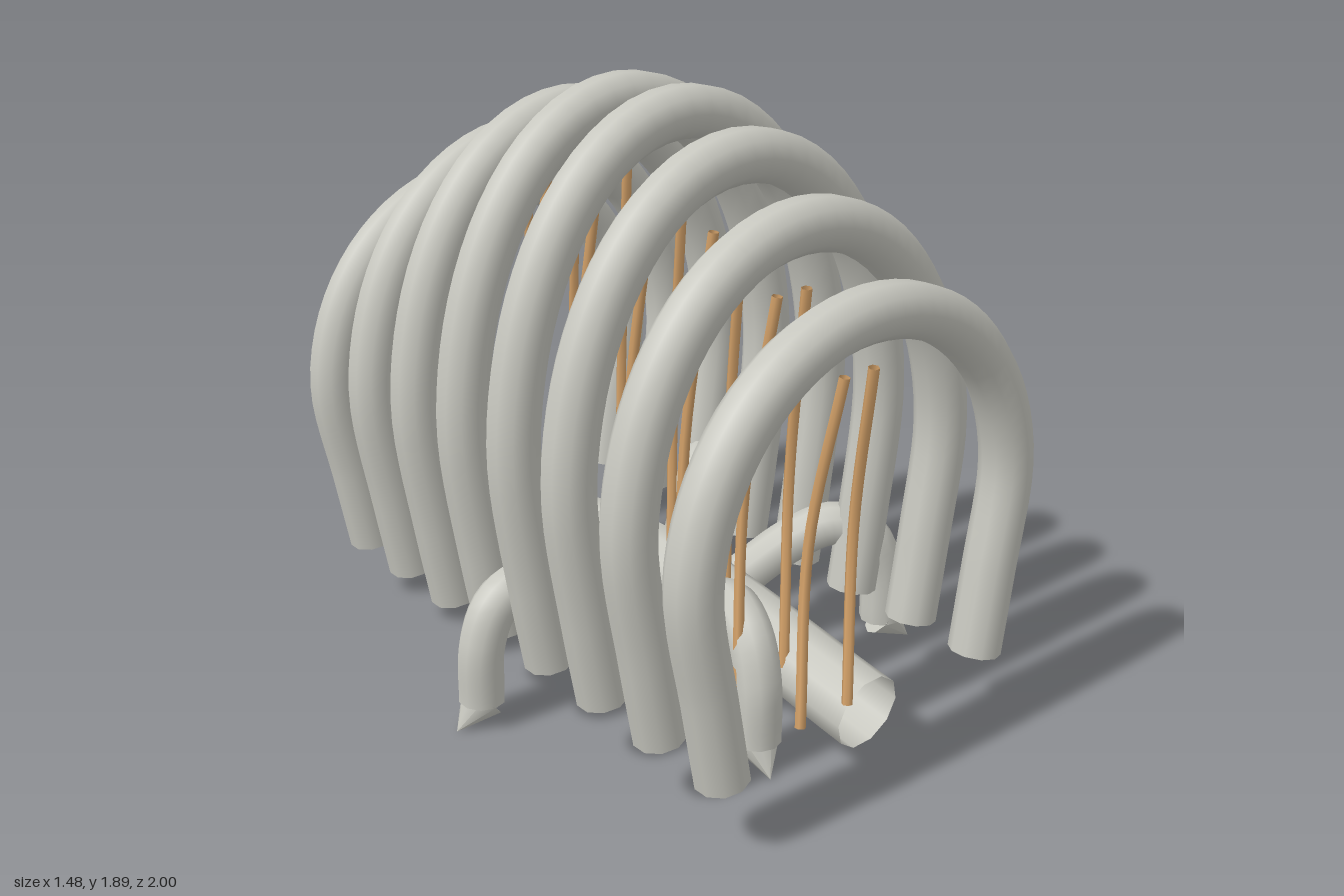
import * as THREE from 'three';

const bone = new THREE.MeshStandardMaterial({ color: 0xc8c8c0, side: THREE.DoubleSide });
bone.name = 'pale grey';
const tan = new THREE.MeshStandardMaterial({ color: 0xd2a068, side: THREE.DoubleSide });
tan.name = 'tan';

const v = (x, y, z) => new THREE.Vector3(x, y, z);

// Open tube swept along a smooth curve through the points
function tube(name, points, radius, material, segments, sides) {
  const curve = new THREE.CatmullRomCurve3(points);
  const mesh = new THREE.Mesh(new THREE.TubeGeometry(curve, segments, radius, sides), material);
  mesh.name = name;
  return mesh;
}

// Arch: straight-ish feet below, half ellipse above, leaning back towards the top
function makeRib(z, top) {
  const foot = 0.235, wideY = 0.8 + (top - 1.42) * 0.25, cx = 0.02;
  const side = [[0.515, foot], [0.56, 0.5]];
  for (let i = 0; i <= 5; i++) {
    const a = (i / 6) * Math.PI / 2;
    side.push([0.61 * Math.cos(a), wideY + (top - wideY) * Math.sin(a)]);
  }
  const lean = (y) => z - 0.035 * (y - foot) / (top - foot);
  const left = side.map(([x, y]) => v(cx - x, y, lean(y)));
  const right = side.map(([x, y]) => v(cx + x, y, lean(y))).reverse();
  return tube('rib', [...left, v(cx, top, lean(top)), ...right], 0.08, bone, 56, 10);
}

// Pair of thin bowed cords hanging inside each rib
function makeCords(z, top) {
  const group = new THREE.Group();
  group.name = 'cords';
  const low = 0.27, high = (top + 0.08) * 0.85, mid = (low + high) / 2;
  for (const [x0, x1, x2] of [[-0.205, -0.12, -0.08], [-0.02, 0.055, 0.03]]) {
    group.add(tube('cord', [v(x0, low, z), v(x1, mid, z - 0.08), v(x2, high, z - 0.015)], 0.016, tan, 16, 6));
  }
  return group;
}

// Bent leg along +x with a pointed claw turned outwards
function makeLeg() {
  const leg = new THREE.Group();
  leg.name = 'leg';
  const path = [[0.26, 0.26], [0.42, 0.385], [0.55, 0.437], [0.66, 0.395], [0.715, 0.28], [0.725, 0.09]];
  leg.add(tube('legTube', path.map(([x, y]) => v(x, y, 0)), 0.072, bone, 28, 10));
  const claw = new THREE.Mesh(new THREE.ConeGeometry(0.074, 0.125, 10), bone);
  claw.name = 'claw';
  const dir = v(0.76, -0.65, 0).normalize();
  claw.quaternion.setFromUnitVectors(v(0, 1, 0), dir);
  claw.position.set(0.725, 0.092, 0).addScaledVector(dir, 0.0625);
  leg.add(claw);
  return leg;
}

export function createModel() {
  const model = new THREE.Group();
  model.name = 'ribbedArchway';

  // Eight ribs, tallest in the middle, each with its cords
  const tops = [1.42, 1.6, 1.74, 1.82];
  for (let i = 0; i < 8; i++) {
    const z = 0.916 - i * 0.2575;
    const top = tops[Math.min(i, 7 - i)];
    model.add(makeRib(z, top), makeCords(z, top));
  }

  // Slightly arched hollow beam along the floor
  model.add(tube('spine', [v(0.075, 0.2, 0.91), v(0.075, 0.305, 0.01), v(0.075, 0.2, -0.88)], 0.119, bone, 24, 10));

  // Five legs spread evenly around the beam's middle
  for (let i = 0; i < 5; i++) {
    const leg = makeLeg();
    leg.position.x = 0.075;
    leg.rotation.y = Math.PI + (i * Math.PI * 2) / 5;
    model.add(leg);
  }
  return model;
}
